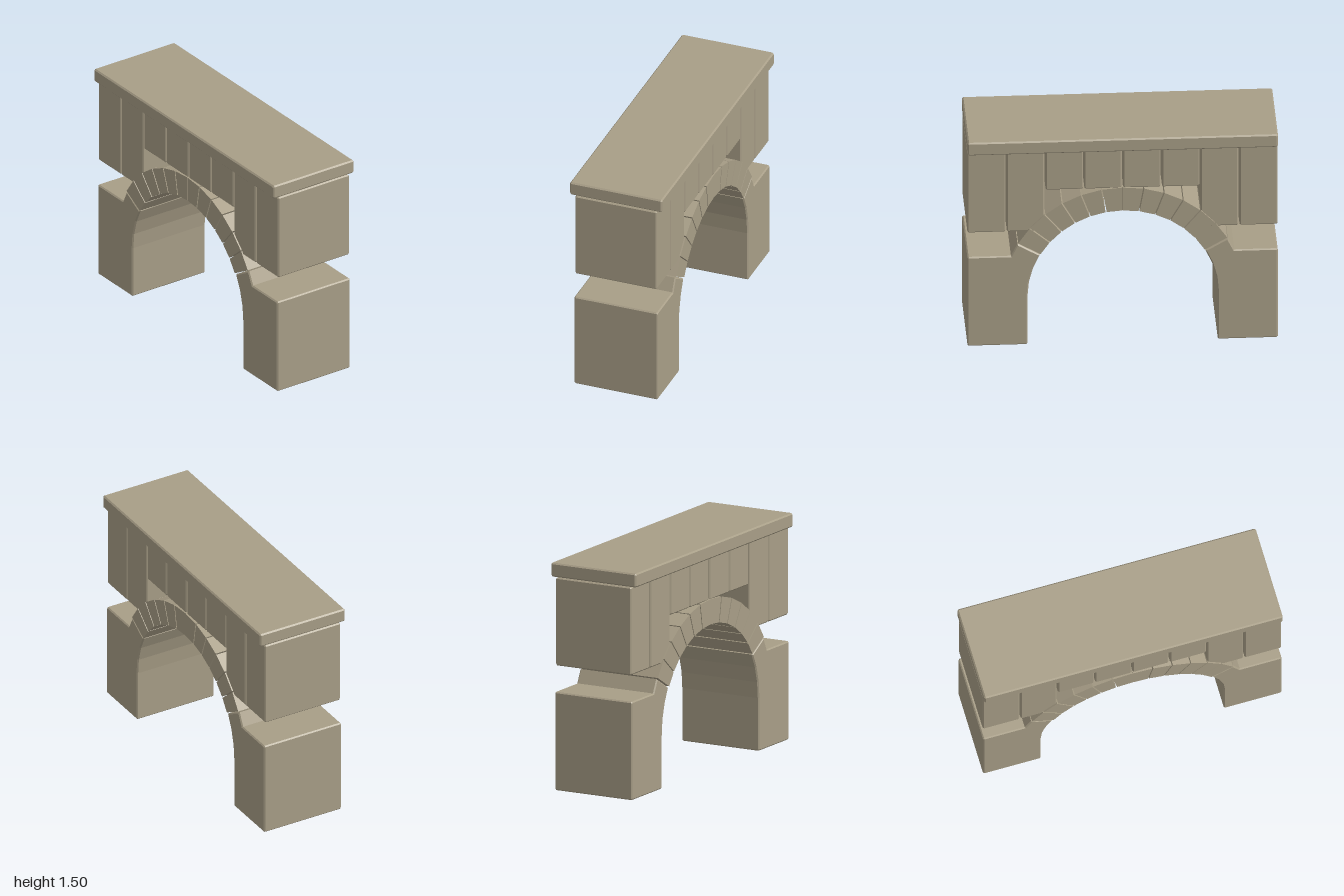
import * as THREE from 'three';

export function createModel() {
  const bridge = new THREE.Group();
  bridge.name = 'stoneArchBridge';
  const stone = new THREE.MeshStandardMaterial({ color: 0xa89e87 });
  stone.name = 'weatheredStone';

  const CENTRE_Y = 0.35, INNER = 0.613, OUTER = 0.78;
  const STEP = Math.PI / 18;

  // Point on the arch, angle measured from the crown towards +x
  const polar = (r, a) => [r * Math.sin(a), CENTRE_Y + r * Math.cos(a)];

  // Extrude an outline along z, centred, with chamfered front and back edges
  function addStone(name, points, depth, chamfer) {
    const shape = new THREE.Shape(points.map(([x, y]) => new THREE.Vector2(x, y)));
    const geometry = new THREE.ExtrudeGeometry(shape, {
      depth: depth - 2 * chamfer,
      bevelEnabled: chamfer > 0,
      bevelThickness: chamfer,
      bevelSize: chamfer,
      bevelOffset: -chamfer,
      bevelSegments: 1,
    });
    geometry.translate(0, 0, -depth / 2 + chamfer);
    const mesh = new THREE.Mesh(geometry, stone);
    mesh.name = name;
    bridge.add(mesh);
  }

  // Rectangular stone with its corners cut
  function addBlock(name, x0, x1, y0, y1, depth, c = 0.008) {
    addStone(name, [
      [x0 + c, y0], [x1 - c, y0], [x1, y0 + c], [x1, y1 - c],
      [x1 - c, y1], [x0 + c, y1], [x0, y1 - c], [x0, y0 + c],
    ], depth, c);
  }

  // Deck slab
  addBlock('deck', -1, 1, 1.408, 1.5, 0.636, 0.009);

  // Wall stones: tall at the ends, short above the arch
  for (let i = 0; i < 8; i++) {
    const x = -1 + i * 0.25;
    const tall = i < 2 || i > 5;
    const left = i === 0 ? x : x + 0.004;
    const right = i === 7 ? x + 0.25 : x + 0.246;
    addBlock(tall ? 'tallWallStone' : 'shortWallStone', left, right, tall ? 0.825 : 1.122, 1.406, 0.562);
  }

  // Wedge stones of the arch, with narrow parallel joints
  for (let i = -6; i < 6; i++) {
    const a = i * STEP, b = a + STEP;
    const gapA = i === 0 ? 0.0008 : 0.004;
    const gapB = i === -1 ? 0.0008 : 0.004;
    addStone('archStone', [
      polar(INNER, b - gapB / INNER), polar(OUTER, b - gapB / OUTER),
      polar(OUTER, a + gapA / OUTER), polar(INNER, a + gapA / INNER),
    ], 0.58, 0);
  }

  // Piers, each carrying the foot of the arch
  const c = 0.008;
  const curve = [];
  for (let i = 6; i <= 9; i++) curve.push(polar(INNER, i * STEP + (i === 6 ? 0.006 : 0)));
  const outline = [
    ...curve,
    [INNER, c], [INNER + c, 0], [1 - c, 0], [1, c],
    [1, 0.65 - c], [1 - c, 0.65], [0.72, 0.65],
    polar(OUTER, 6 * STEP + 0.005),
  ];
  addStone('leftPier', outline, 0.576, c);
  addStone('rightPier', outline.map(([x, y]) => [-x, y]).reverse(), 0.576, c);

  return bridge;
}
